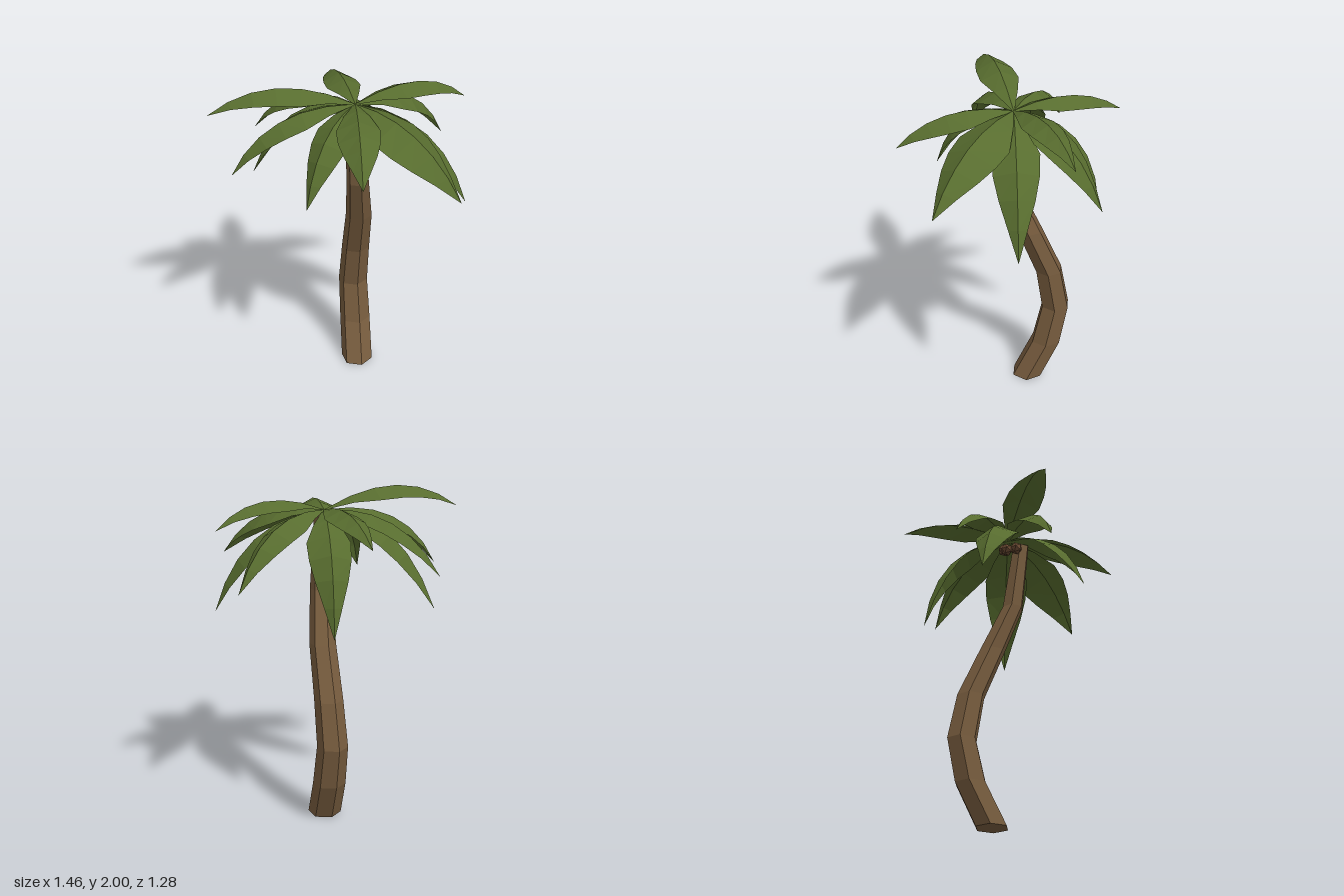
import * as THREE from 'three';

const bark = new THREE.MeshStandardMaterial({ color: 0x775c3e, flatShading: true });
bark.name = 'bark brown';
const leaf = new THREE.MeshStandardMaterial({ color: 0x586d2f, flatShading: true, side: THREE.DoubleSide });
leaf.name = 'leaf green';
const husk = new THREE.MeshStandardMaterial({ color: 0x6e4d35, flatShading: true });
husk.name = 'husk brown';

const CROWN = new THREE.Vector3(-0.03, 1.875, 0.02);

// Trunk rings from the ground up: x, y, z, radius
const RINGS = [
  [-0.085, 0, -0.05, 0.1],
  [-0.175, 0.25, -0.135, 0.098],
  [-0.22, 0.51, -0.17, 0.092],
  [-0.175, 0.79, -0.145, 0.086],
  [-0.077, 1.1, -0.063, 0.079],
  [0.0, 1.4, 0.035, 0.066],
  [0.02, 1.83, 0.085, 0.053],
];

// Fronds: tip x, y, z, then bend height, bend reach (share of length), half width
const FRONDS = [
  [0.73, 1.53, 0.03, 1.92, 0.64, 0.168],
  [0.49, 1.27, -0.36, 1.83, 0.76, 0.135],
  [0.29, 1.81, -0.58, 2.06, 0.64, 0.1],
  [0.09, 1.49, -0.64, 1.93, 0.7, 0.12],
  [-0.36, 1.24, -0.37, 1.81, 0.9, 0.125],
  [-0.59, 1.77, -0.36, 1.99, 0.6, 0.1],
  [-0.73, 1.55, 0.14, 1.94, 0.68, 0.095],
  [-0.64, 1.32, 0.26, 1.9, 0.68, 0.125],
  [-0.57, 1.86, 0.64, 2.13, 0.57, 0.115],
  [-0.45, 1.51, 0.6, 1.92, 0.72, 0.11],
  [0.05, 1.44, 0.52, 1.88, 0.76, 0.115],
  [0.44, 1.7, 0.5, 1.97, 0.64, 0.12],
];
const WIDTHS = [0.05, 0.6, 1, 0.95, 0.74, 0.4, 0];

// Six-sided trunk, each row of a cylinder moved to its ring
function makeTrunk() {
  const rows = RINGS.length - 1;
  const geo = new THREE.CylinderGeometry(1, 1, 1, 6, rows);
  const pos = geo.attributes.position;
  for (let i = 0; i < pos.count; i++) {
    const [x, y, z, r] = RINGS[Math.round((pos.getY(i) + 0.5) * rows)];
    pos.setXYZ(i, x + pos.getX(i) * r, y, z + pos.getZ(i) * r);
  }
  geo.computeVertexNormals();
  const mesh = new THREE.Mesh(geo, bark);
  mesh.name = 'trunk';
  return mesh;
}

// Arched leaf, folded down on both sides of its midrib, more steeply towards the tip
function makeFrond([x, y, z, bendY, reach, halfWidth]) {
  const tip = new THREE.Vector3(x, y, z);
  const bend = CROWN.clone().lerp(tip, reach).setY(bendY);
  const curve = new THREE.QuadraticBezierCurve3(CROWN, bend, tip);
  const side = new THREE.Vector3(-(z - CROWN.z), 0, x - CROWN.x).normalize();
  const rows = WIDTHS.length - 1;
  const geo = new THREE.PlaneGeometry(2, 1, 2, rows);
  const pos = geo.attributes.position;
  for (let i = 0; i < pos.count; i++) {
    const t = pos.getY(i) + 0.5;
    const across = pos.getX(i) * halfWidth * WIDTHS[Math.round(t * rows)];
    const up = side.clone().cross(curve.getTangent(t));
    const p = curve.getPoint(t)
      .addScaledVector(side, across)
      .addScaledVector(up, -(0.35 + 0.35 * t) * Math.abs(across));
    pos.setXYZ(i, p.x, p.y, p.z);
  }
  geo.computeVertexNormals();
  const mesh = new THREE.Mesh(geo, leaf);
  mesh.name = 'frond';
  return mesh;
}

export function createModel() {
  const model = new THREE.Group();
  model.name = 'palmTree';
  model.add(makeTrunk());

  const crown = new THREE.Group();
  crown.name = 'crown';
  FRONDS.forEach((f) => crown.add(makeFrond(f)));
  model.add(crown);

  // Nuts hanging under the crown
  const nuts = new THREE.Group();
  nuts.name = 'coconuts';
  for (const [x, y, z] of [[-0.1, 1.765, 0.06], [-0.07, 1.79, 0.02], [-0.055, 1.785, 0.1]]) {
    const nut = new THREE.Mesh(new THREE.IcosahedronGeometry(0.038), husk);
    nut.name = 'coconut';
    nut.position.set(x, y, z);
    nuts.add(nut);
  }
  model.add(nuts);
  return model;
}
